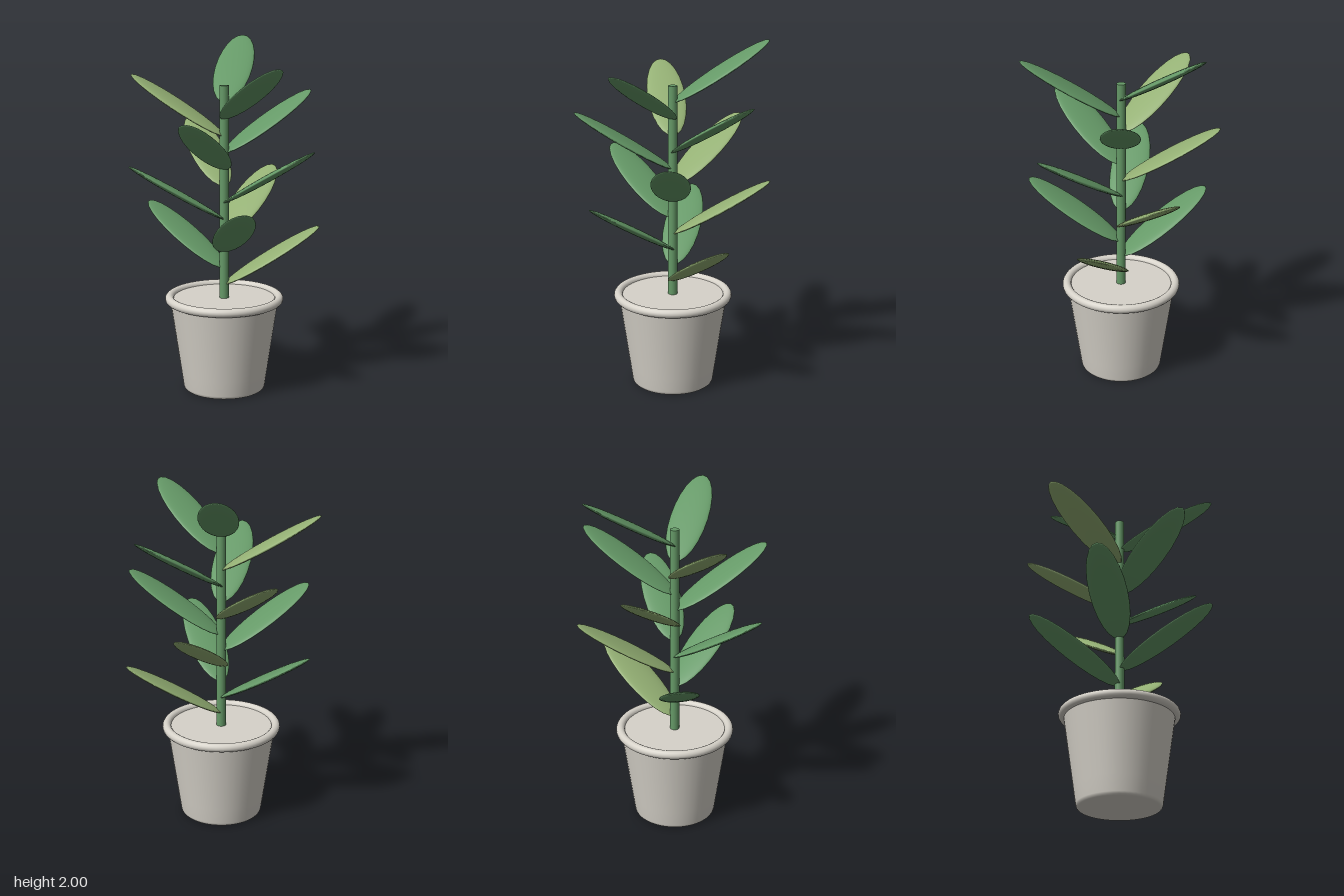
import * as THREE from 'three';

export function createModel() {
  const leafGreen = new THREE.MeshStandardMaterial({ name: 'leafGreen', color: 0x659967 });
  const youngLeaf = new THREE.MeshStandardMaterial({ name: 'youngLeafGreen', color: 0x94b074 });
  const clay = new THREE.MeshStandardMaterial({ name: 'paleClay', color: 0xd6d2c9 });

  const plant = new THREE.Group();
  plant.name = 'pottedPlant';
  plant.position.set(-0.005, 0, -0.01);

  const add = (name, geometry, material, y = 0, parent = plant) => {
    const mesh = new THREE.Mesh(geometry, material);
    mesh.name = name;
    mesh.position.y = y;
    parent.add(mesh);
    return mesh;
  };

  // Pot: tapered body with a softly rounded foot
  const profile = [
    [0, 0], [0.215, 0], [0.226, 0.002], [0.233, 0.008], [0.237, 0.02],
    [0.25, 0.11], [0.312, 0.535],
  ].map(([x, y]) => new THREE.Vector2(x, y));
  add('potBody', new THREE.LatheGeometry(profile, 48), clay);

  // Flat top inside the rim
  add('potTop', new THREE.CircleGeometry(0.312, 48).rotateX(-Math.PI / 2), clay, 0.54);

  // Rolled rim
  add('potRim', new THREE.TorusGeometry(0.315, 0.025, 14, 56).rotateX(Math.PI / 2), clay, 0.537);

  // Upright stem
  add('stem', new THREE.CylinderGeometry(0.026, 0.027, 1.235, 16), leafGreen, 1.1475);

  // Leaves: flattened ellipsoids climbing the stem in a golden-angle spiral
  const leafShape = new THREE.SphereGeometry(1, 24, 16)
    .scale(0.32, 0.02, 0.11)
    .rotateZ(THREE.MathUtils.degToRad(31))
    .translate(0.276, 0, 0);
  const leaves = new THREE.Group();
  leaves.name = 'leaves';
  plant.add(leaves);
  for (let i = 0; i < 12; i++) {
    const leaf = add(`leaf${i + 1}`, leafShape, i % 3 === 0 ? youngLeaf : leafGreen, 0.785 + i * 0.0955, leaves);
    leaf.rotation.y = THREE.MathUtils.degToRad(137.5 * i);
  }

  const model = new THREE.Group();
  model.name = 'model';
  model.add(plant);
  return model;
}
